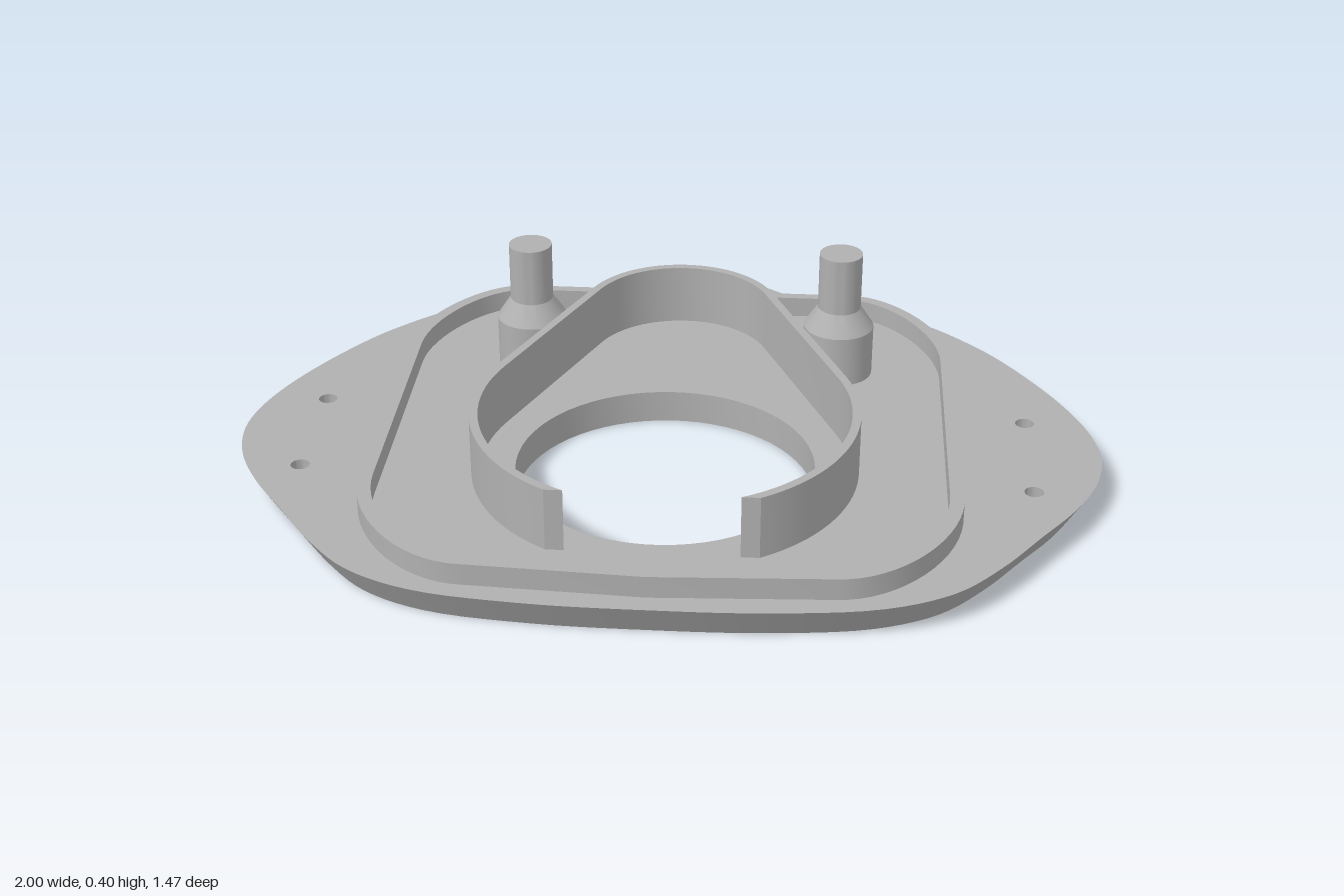
import * as THREE from 'three';
import { toCreasedNormals } from 'three/addons/utils/BufferGeometryUtils.js';

const grey = new THREE.MeshStandardMaterial({ color: 0xb0b0b0 });
grey.name = 'grey';

const PLATE_TOP = 0.079;
const BORE = { x: 0, z: 0.144, r: 0.343 };
const SCREWS = [[-0.835, -0.106], [0.834, -0.106], [-0.834, 0.207], [0.835, 0.207]];

const mirror = pts => pts.map(p => new THREE.Vector2(-p.x, p.y)).reverse();
const dedupe = pts => pts.filter((p, i) => p.distanceTo(pts[(i + 1) % pts.length]) > 1e-4);

// Points of a round hole, wound against the outline
function circle({ x, z, r }, sides) {
  return Array.from({ length: sides }, (_, i) => {
    const a = 0.03 + Math.PI * 2 * i / sides;
    return new THREE.Vector2(x + r * Math.cos(a), -z + r * Math.sin(a));
  });
}

// Extrude a clockwise (x, z) outline upwards from y0 to y1
function slab(points, y0, y1, holes = []) {
  const shape = new THREE.Shape(dedupe(points).map(p => new THREE.Vector2(p.x, -p.y)));
  for (const h of holes) shape.holes.push(new THREE.Path(circle(h, h.r > 0.1 ? 64 : 24)));
  const geo = new THREE.ExtrudeGeometry(shape, { depth: y1 - y0, bevelEnabled: false });
  return geo.rotateX(-Math.PI / 2).translate(0, y0, 0);
}

function part(name, geo, crease = 0.4) {
  const mesh = new THREE.Mesh(toCreasedNormals(geo, crease), grey);
  mesh.name = name;
  return mesh;
}

// Base plate: smooth outline, underside drawn in to slope the edge
function basePlate() {
  const half = [[0.26, -0.733], [0.42, -0.705], [0.61, -0.605], [0.73, -0.497], [0.806, -0.405],
    [0.92, -0.22], [0.982, -0.07], [1, 0.045], [0.98, 0.16], [0.923, 0.277], [0.838, 0.397],
    [0.745, 0.525], [0.645, 0.627], [0.5, 0.695], [0.26, 0.729]].map(p => new THREE.Vector2(...p));
  const ring = [new THREE.Vector2(0, -0.735), ...half, new THREE.Vector2(0, 0.736), ...mirror(half)];
  const curve = new THREE.CatmullRomCurve3(ring.map(p => new THREE.Vector3(p.x, 0, p.y)), true);
  const outline = curve.getPoints(160).map(p => new THREE.Vector2(p.x, p.z));
  const holes = [BORE, ...SCREWS.map(([x, z]) => ({ x, z, r: 0.022 }))];
  const geo = slab(outline, 0, PLATE_TOP, holes);
  const pos = geo.attributes.position;
  for (let i = 0; i < pos.count; i++) {
    const x = pos.getX(i), z = pos.getZ(i);
    const atScrew = SCREWS.some(s => Math.hypot(x - s[0], z - s[1]) < 0.03);
    if (pos.getY(i) < 0.01 && Math.hypot(x, z) > 0.6 && !atScrew) {
      pos.setX(i, x * 0.954);
      pos.setZ(i, z * 0.942);
    }
  }
  return part('basePlate', geo);
}

// Low outer rim, open at the back with slanted tips
function outerRim() {
  const outer = new THREE.Path();
  outer.moveTo(0.13, -0.69).lineTo(0.2, -0.69).lineTo(0.245, -0.657).lineTo(0.42, -0.657);
  outer.bezierCurveTo(0.54, -0.657, 0.672, -0.46, 0.672, -0.31).lineTo(0.672, 0.32);
  outer.bezierCurveTo(0.672, 0.49, 0.53, 0.67, 0.39, 0.67).lineTo(0, 0.69);
  const inner = new THREE.Path();
  inner.moveTo(0, 0.657).lineTo(0.39, 0.65);
  inner.bezierCurveTo(0.52, 0.64, 0.64, 0.47, 0.64, 0.32).lineTo(0.64, -0.31);
  inner.bezierCurveTo(0.64, -0.45, 0.525, -0.632, 0.41, -0.632).lineTo(0.235, -0.632).lineTo(0.13, -0.69);
  const o = outer.getPoints(16), n = inner.getPoints(16);
  return part('outerRim', slab([...o, ...mirror(o), ...mirror(n), ...n], PLATE_TOP, 0.13));
}

// Tall teardrop wall: small back arc, tangent sides, large arc cut off at the front
function teardropWall() {
  const tilt = 0.407, endZ = 0.522;
  const side = inset => {
    const back = 0.243 - inset, front = 0.443 - inset, pts = [];
    for (let i = 0; i <= 16; i++) {
      const a = -Math.PI / 2 + (Math.PI / 2 - tilt) * i / 16;
      pts.push(new THREE.Vector2(back * Math.cos(a), -0.361 + back * Math.sin(a)));
    }
    const stop = Math.asin((endZ - BORE.z) / front);
    for (let i = 0; i <= 24; i++) {
      const a = -tilt + (stop + tilt) * i / 24;
      pts.push(new THREE.Vector2(front * Math.cos(a), BORE.z + front * Math.sin(a)));
    }
    return pts;
  };
  const o = side(0), n = side(0.02);
  const outline = [...mirror(o), ...o, ...[...n].reverse(), ...mirror(n).reverse()];
  return part('teardropWall', slab(outline, PLATE_TOP, 0.229));
}

// Stepped post with a conical shoulder
function post(name, x) {
  const profile = [[0.085, PLATE_TOP], [0.085, 0.204], [0.052, 0.254], [0.052, 0.395], [0, 0.395]];
  const mesh = part(name, new THREE.LatheGeometry(profile.map(p => new THREE.Vector2(...p)), 40));
  mesh.position.set(x, 0, -0.346);
  return mesh;
}

export function createModel() {
  const model = new THREE.Group();
  model.name = 'mountingPlate';
  model.add(basePlate(), outerRim(), teardropWall(), post('rightPost', -0.365), post('leftPost', 0.389));
  return model;
}
